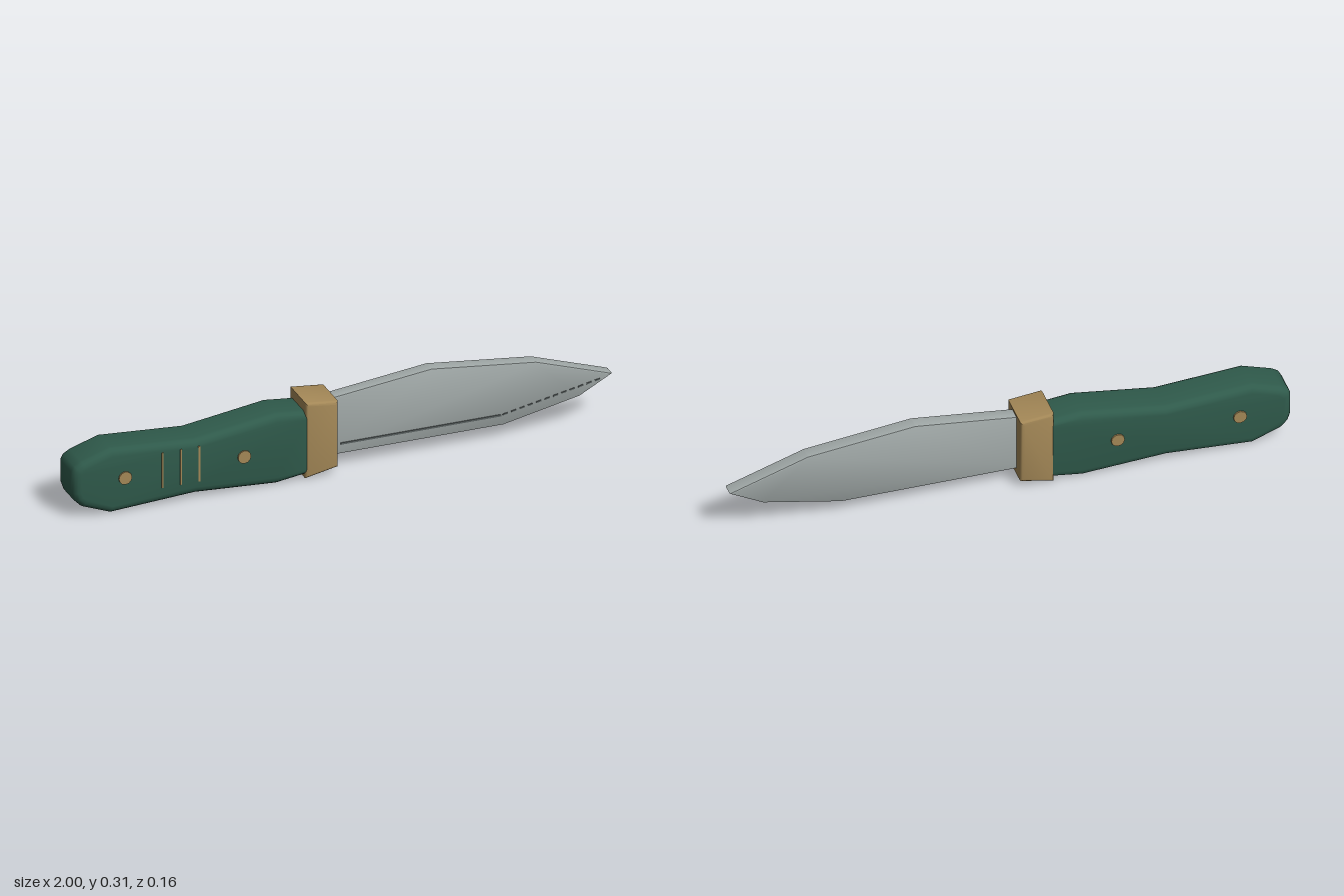
import * as THREE from 'three';
import { toCreasedNormals } from 'three/addons/utils/BufferGeometryUtils.js';

const material = (name, color) => {
  const m = new THREE.MeshStandardMaterial({ color });
  m.name = name;
  return m;
};

// Side outline given a thickness in z, with edges rounded inwards
function slab(points, halfDepth, bevel, segments, crease) {
  const shape = new THREE.Shape(points.map(([x, y]) => new THREE.Vector2(x, y)));
  const depth = 2 * (halfDepth - bevel);
  const geo = new THREE.ExtrudeGeometry(shape, {
    depth, bevelEnabled: true, bevelThickness: bevel, bevelSize: bevel,
    bevelOffset: -bevel, bevelSegments: segments,
  });
  geo.translate(0, 0, -depth / 2);
  return toCreasedNormals(geo, crease);
}

export function createModel() {
  const group = new THREE.Group();
  const steel = material('steel', 0xa0a8a7);
  const darkSteel = material('dark steel', 0x596060);
  const green = material('green grip', 0x2f5a4b);
  const brass = material('brass', 0xa48857);

  const add = (name, geo, mat, x = 0, y = 0, z = 0) => {
    const mesh = new THREE.Mesh(geo, mat);
    mesh.name = name;
    mesh.position.set(x, y, z);
    group.add(mesh);
    return mesh;
  };

  // Blade, with its root hidden inside the guard
  add('blade', slab([
    [-0.08, 0.055], [0.6, 0.055], [0.88, 0.113], [1, 0.178],
    [0.72, 0.273], [0.335, 0.317], [-0.08, 0.268],
  ], 0.026, 0.006, 2, 0.4), steel);

  // Waisted grip with a rounded butt
  add('handle', slab([
    [-0.12, 0.022], [-0.25, 0.004], [-0.55, 0.023], [-0.86, 0.004],
    [-0.965, 0.045], [-0.99, 0.07], [-1, 0.1], [-1, 0.18], [-0.99, 0.2],
    [-0.965, 0.215], [-0.86, 0.249], [-0.55, 0.227], [-0.25, 0.27], [-0.12, 0.256],
  ], 0.074, 0.028, 4, 0.65), green);

  // Tapered guard
  add('guard', slab([
    [-0.147, 0.008], [-0.027, 0.032], [-0.027, 0.282], [-0.147, 0.295],
  ], 0.076, 0.012, 3, 0.65), brass);

  // Pins through the grip
  for (const x of [-0.812, -0.374]) {
    const geo = new THREE.CylinderGeometry(0.024, 0.024, 0.16, 12);
    geo.rotateX(Math.PI / 2);
    add('gripPin', toCreasedNormals(geo, 0.7), brass, x, 0.135, 0);
  }

  // Fine inlay bars on the front of the grip
  for (const x of [-0.674, -0.606, -0.539]) {
    add('gripInlay', new THREE.BoxGeometry(0.007, 0.134, 0.004), brass, x, 0.138, 0.074);
  }

  // Ground edge line on the front of the blade, broken up towards the tip
  const edgeLine = (x0, y0, x1, y1, width) => {
    const length = Math.hypot(x1 - x0, y1 - y0);
    const mesh = add('edgeLine', new THREE.BoxGeometry(length, width, 0.005), darkSteel,
      (x0 + x1) / 2, (y0 + y1) / 2, 0.0265);
    mesh.rotation.z = Math.atan2(y1 - y0, x1 - x0);
  };
  edgeLine(0, 0.094, 0.59, 0.094, 0.007);
  const dashes = 12;
  for (let i = 0; i < dashes; i++) {
    const a = (i + 0.2) / dashes, b = (i + 0.8) / dashes;
    edgeLine(0.59 + 0.37 * a, 0.094 + 0.074 * a, 0.59 + 0.37 * b, 0.094 + 0.074 * b, 0.005);
  }

  return group;
}
